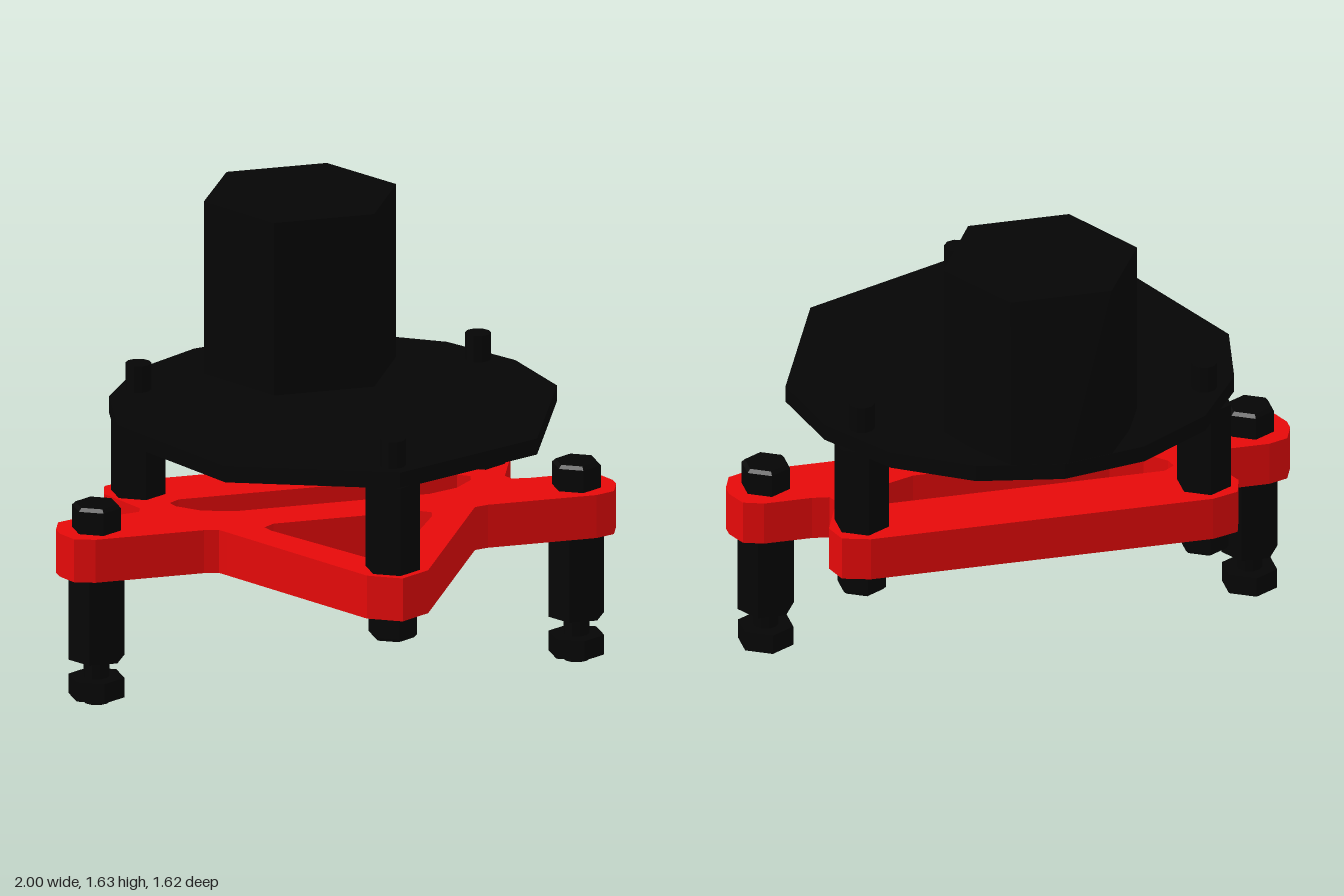
import * as THREE from 'three';
import { ConvexGeometry } from 'three/addons/geometries/ConvexGeometry.js';

const black = new THREE.MeshStandardMaterial({ color: 0x050505, flatShading: true });
const red = new THREE.MeshStandardMaterial({ color: 0xe60909, flatShading: true });

// Closed [x, z] outline from its +x half
function mirrored(half) {
  const other = half.filter(([x]) => x > 0).map(([x, z]) => [-x, z]).reverse();
  return [...half, ...other].map(([x, z]) => new THREE.Vector2(x, z));
}

// Flat plate lying between two heights; holes wind against the outline
function plate(name, outline, holes, y0, y1, material) {
  const shape = new THREE.Shape(outline);
  for (const hole of holes) shape.holes.push(new THREE.Path([...hole].reverse()));
  const geometry = new THREE.ExtrudeGeometry(shape, { depth: y1 - y0, bevelEnabled: false });
  geometry.rotateX(Math.PI / 2).translate(0, y1, 0);
  const mesh = new THREE.Mesh(geometry, material);
  mesh.name = name;
  return mesh;
}

// Upright prism; corners point along z unless turned
function prism(name, radius, y0, y1, sides = 6, turn = 0) {
  const geometry = new THREE.CylinderGeometry(radius, radius, y1 - y0, sides);
  geometry.rotateY(turn).translate(0, (y0 + y1) / 2, 0);
  const mesh = new THREE.Mesh(geometry, black);
  mesh.name = name;
  return mesh;
}

// Hexagonal bolt head with chamfered ends
function boltHead(radius, y0, y1) {
  const c = 0.012;
  const profile = [[0, y0], [radius - c, y0], [radius, y0 + c], [radius, y1 - c], [radius - c, y1], [0, y1]];
  const points = profile.map(([r, y]) => new THREE.Vector2(r, y));
  const mesh = new THREE.Mesh(new THREE.LatheGeometry(points, 6), black);
  mesh.name = 'boltHead';
  return mesh;
}

export function createModel() {
  const model = new THREE.Group();

  // Red frame with two ears, two rear lobes and a pointed front
  const frameOutline = mirrored([
    [0, 0.81], [0.11, 0.745], [0.44, 0.15], [0.46, 0.115], [0.51, 0.103],
    [0.9, 0.103], [0.97, 0.077], [1, 0], [1, -0.045], [0.97, -0.12], [0.9, -0.145],
    [0.73, -0.145], [0.67, -0.155], [0.655, -0.19], [0.69, -0.28],
    [0.73, -0.38], [0.705, -0.465], [0.61, -0.495],
  ]);
  const frontHole = mirrored([
    [0.05, 0.56], [0.29, 0.17], [0.3, 0.13], [0.26, 0.1],
  ]);
  const rearSlot = mirrored([
    [0.35, -0.07], [0.46, -0.11], [0.53, -0.18], [0.54, -0.22], [0.5, -0.25],
  ]);
  model.add(plate('frame', frameOutline, [frontHole, rearSlot], 0.471, 0.627, red));

  // Upper deck
  const deckOutline = mirrored([
    [0, 0.775], [0.56, 0.54], [0.79, -0.01], [0.73, -0.32],
    [0.56, -0.58], [0.3, -0.75], [0, -0.81],
  ]);
  model.add(plate('deck', deckOutline, [], 0.942, 1, black));

  // Tower: hexagonal top, its back easing out to the deck edge
  const top = mirrored([[0.18, -0.17], [0.345, -0.47], [0.18, -0.762]]);
  const bottom = mirrored([
    [0.18, -0.17], [0.345, -0.47], [0.28, -0.62], [0.18, -0.774], [0, -0.81],
  ]);
  const tower = new THREE.Mesh(new ConvexGeometry([
    ...top.map((p) => new THREE.Vector3(p.x, 1.627, p.y)),
    ...bottom.map((p) => new THREE.Vector3(p.x, 0.942, p.y)),
  ]), black);
  tower.name = 'tower';
  model.add(tower);

  // Standoffs between frame and deck, with bolt heads below and studs above
  for (const [x, z] of [[0, 0.685], [0.61, -0.37], [-0.61, -0.37]]) {
    const standoff = new THREE.Group();
    standoff.name = 'standoff';
    standoff.add(
      boltHead(0.087, 0.38, 0.49),
      prism('post', 0.097, 0.62, 0.945),
      prism('stud', 0.045, 0.99, 1.096, 10),
    );
    standoff.position.set(x, 0, z);
    model.add(standoff);
  }

  // Legs under the ears
  for (const side of [-1, 1]) {
    const leg = new THREE.Group();
    leg.name = side > 0 ? 'leftLeg' : 'rightLeg';
    leg.add(
      boltHead(0.087, 0.61, 0.72),
      prism('legPost', 0.1, 0.16, 0.48, 6, Math.PI / 2),
      prism('screw', 0.045, 0, 0.17, 10),
      prism('footNut', 0.099, 0.022, 0.093),
    );
    leg.position.set(side * 0.862, 0, -0.017);
    model.add(leg);
  }

  return model;
}
